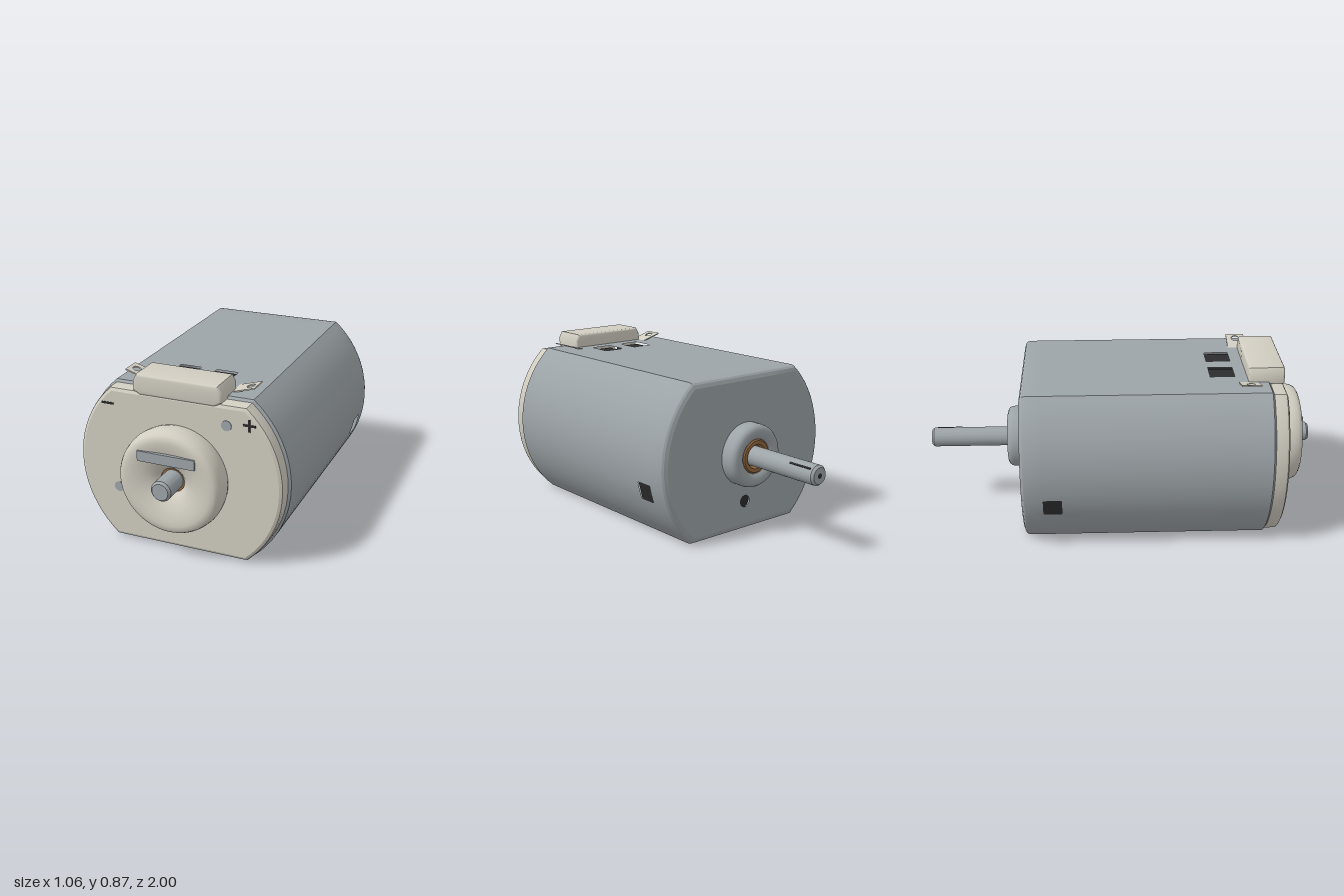
import * as THREE from 'three';
import { toCreasedNormals } from 'three/addons/utils/BufferGeometryUtils.js';

const R = 0.528, H = 0.4, CY = 0.4;

const material = (name, color, side = THREE.FrontSide) => {
  const m = new THREE.MeshStandardMaterial({ color, side });
  m.name = name;
  return m;
};

// Circle cut flat at top and bottom, shrunk by an inset; counter-clockwise
function outline(inset) {
  const r = R - inset, a = Math.asin((H - inset) / r), pts = [];
  const arc = (f, s) => pts.push(new THREE.Vector2(s * r * Math.cos(a * f), CY + r * Math.sin(a * f)));
  for (let k = 0; k <= 20; k++) arc(-1 + k / 10, 1);
  for (const f of [0.435, 0.116, -0.116, -0.435]) pts.push(new THREE.Vector2(f * r * Math.cos(a), CY + H - inset));
  for (let k = 0; k <= 20; k++) arc(1 - k / 10, -1);
  return pts;
}

// Walls through rings of [z, inset]; cells where skip(i, z) holds stay open
function loft(rings, skip = () => false) {
  const pos = [], loops = rings.map(([z, inset]) => outline(inset).map(p => [p.x, p.y, z]));
  for (let j = 0; j < loops.length - 1; j++) {
    const n = loops[j].length;
    for (let i = 0; i < n; i++) {
      if (skip(i, rings[j][0])) continue;
      const k = (i + 1) % n;
      const a = loops[j][i], b = loops[j][k], c = loops[j + 1][k], d = loops[j + 1][i];
      pos.push(...a, ...b, ...c, ...a, ...c, ...d);
    }
  }
  const g = new THREE.BufferGeometry();
  g.setAttribute('position', new THREE.Float32BufferAttribute(pos, 3));
  return toCreasedNormals(g, 0.4);
}

// Turned part around the shaft axis; dir is the way the profile heights point
function turned(points, dir, crease = 0.6) {
  const g = new THREE.LatheGeometry(points.map(p => new THREE.Vector2(...p)), 64);
  g.rotateX(dir * Math.PI / 2).translate(0, CY, 0);
  return toCreasedNormals(g, crease);
}

export function createModel() {
  const model = new THREE.Group();
  model.name = 'electricMotor';
  const steel = material('steel', 0x9da4a8, THREE.DoubleSide);
  const plastic = material('cream plastic', 0xd1cdc1);
  const bronze = material('bronze', 0x94683f, THREE.DoubleSide);
  const dark = material('dark grey', 0x2c2c2e);

  const add = (name, geometry, mat, x = 0, y = 0, z = 0, parent = model) => {
    const m = new THREE.Mesh(geometry, mat);
    m.name = name;
    m.position.set(x, y, z);
    parent.add(m);
    return m;
  };
  const box = (name, mat, w, h, d, x, y, z) => add(name, new THREE.BoxGeometry(w, h, d), mat, x, y, z);

  // Steel can with two top vents and one vent low on each side
  const canRings = [[-0.51, 0.03], [-0.503, 0.012], [-0.495, 0.004], [-0.48, 0], [-0.4, 0], [-0.31, 0],
    [0.445, 0], [0.57, 0], [0.73, 0], [0.742, 0.014]];
  const vent = (i, z) => (z === -0.4 && [6, 7, 37, 38].includes(i)) || (z === 0.445 && [21, 23].includes(i));
  add('can', loft(canRings, vent), steel);

  // Rear plate with its small hole
  const rear = new THREE.Shape(outline(0.03));
  rear.holes.push(new THREE.Path().absarc(0, 0.15, 0.03, 0, Math.PI * 2, true));
  add('rearPlate', new THREE.ShapeGeometry(rear, 24).rotateY(Math.PI), steel, 0, 0, -0.51);
  add('rearHoleFloor', new THREE.CylinderGeometry(0.045, 0.045, 0.03, 24).rotateX(Math.PI / 2), dark, 0, 0.15, -0.475);

  // Dark floors behind the vents
  for (const s of [1, -1]) {
    box('topVentFloor', dark, 0.14, 0.04, 0.155, s * 0.095, 0.765, 0.5075);
    const floor = box('sideVentFloor', dark, 0.04, 0.13, 0.13, s * 0.472, 0.267, -0.355);
    floor.rotation.z = -s * 0.26;
  }

  // Plastic end cap
  add('endCap', loft([[0.735, 0.012], [0.79, 0.012], [0.802, 0.016], [0.81, 0.03]]), plastic);
  add('endCapFace', new THREE.ShapeGeometry(new THREE.Shape(outline(0.03))), plastic, 0, 0, 0.81);

  // Front dome sinking like a funnel towards the shaft
  add('frontDome', turned([[0.25, 0.805], [0.257, 0.83], [0.26, 0.86], [0.257, 0.885], [0.252, 0.905], [0.244, 0.92],
    [0.23, 0.929], [0.21, 0.931], [0.18, 0.928], [0.14, 0.918], [0.1, 0.902], [0.075, 0.885], [0.06, 0.868], [0.057, 0.84]], 1),
  plastic);
  add('frontBearing', new THREE.RingGeometry(0.048, 0.06, 48), bronze, 0, CY, 0.862);
  box('frontClip', steel, 0.286, 0.05, 0.06, 0, 0.53, 0.909);

  // Rear bearing boss
  add('rearBoss', turned([[0.16, 0.505], [0.16, 0.56], [0.157, 0.577], [0.149, 0.589], [0.135, 0.596], [0.12, 0.596],
    [0.1, 0.591], [0.088, 0.582], [0.085, 0.57]], -1), steel);
  add('rearBearing', turned([[0.086, 0.565], [0.086, 0.582], [0.08, 0.588], [0.062, 0.588], [0.056, 0.58], [0.048, 0.56]], -1),
    bronze);

  // Shaft with chamfered ends, a centre mark and a fine groove
  add('shaft', turned([[0, -1], [0.04, -1], [0.05, -0.988], [0.05, 0.988], [0.04, 1], [0, 1]], 1), steel);
  add('shaftCentreMark', new THREE.CircleGeometry(0.013, 20).rotateY(Math.PI), dark, 0, CY, -1.001);
  const groove = box('shaftGroove', dark, 0.009, 0.006, 0.13, 0.0357, CY + 0.0357, -0.91);
  groove.rotation.z = -Math.PI / 4;

  // Rivet heads and polarity marks on the end cap
  for (const [x, y] of [[0.245, 0.69], [-0.315, 0.28]])
    add('rivet', new THREE.CylinderGeometry(0.025, 0.025, 0.006, 24).rotateX(Math.PI / 2), steel, x, y, 0.81);
  for (const s of [1, -1]) box('polarityBar', dark, 0.06, 0.01, 0.006, s * 0.355, 0.707, 0.81);
  box('polarityUpright', dark, 0.01, 0.06, 0.006, 0.355, 0.707, 0.81);

  // Terminal block on top of the cap
  const b = 0.012;
  const half = [[0.183, 0.77 + b], [0.208, 0.797], [0.208, 0.836], [0.196, 0.87 - b]];
  const block = new THREE.Shape([...half, ...half.map(([x, y]) => [-x, y]).reverse()].map(p => new THREE.Vector2(...p)));
  const blockGeo = new THREE.ExtrudeGeometry(block, { depth: 0.156, bevelSize: b, bevelThickness: b, bevelSegments: 3 });
  add('terminalBlock', toCreasedNormals(blockGeo, 0.6), plastic, 0, 0, 0.643);

  // Tilted terminal tabs with a round hole
  const tab = new THREE.Shape([[0, -0.048], [0.13, -0.048], [0.13, 0.048], [0, 0.048]].map(p => new THREE.Vector2(...p)));
  tab.holes.push(new THREE.Path().absarc(0.094, 0, 0.021, 0, Math.PI * 2, true));
  const tabGeo = new THREE.ExtrudeGeometry(tab, { depth: 0.006, bevelEnabled: false, curveSegments: 20 });
  tabGeo.rotateX(-Math.PI / 2).rotateZ(0.29).translate(0.203, 0, 0);
  for (const s of [1, -1]) {
    const t = add(s > 0 ? 'leftTerminal' : 'rightTerminal', tabGeo, plastic, 0, 0.79, 0.63);
    if (s < 0) t.rotation.y = Math.PI;
  }
  return model;
}
